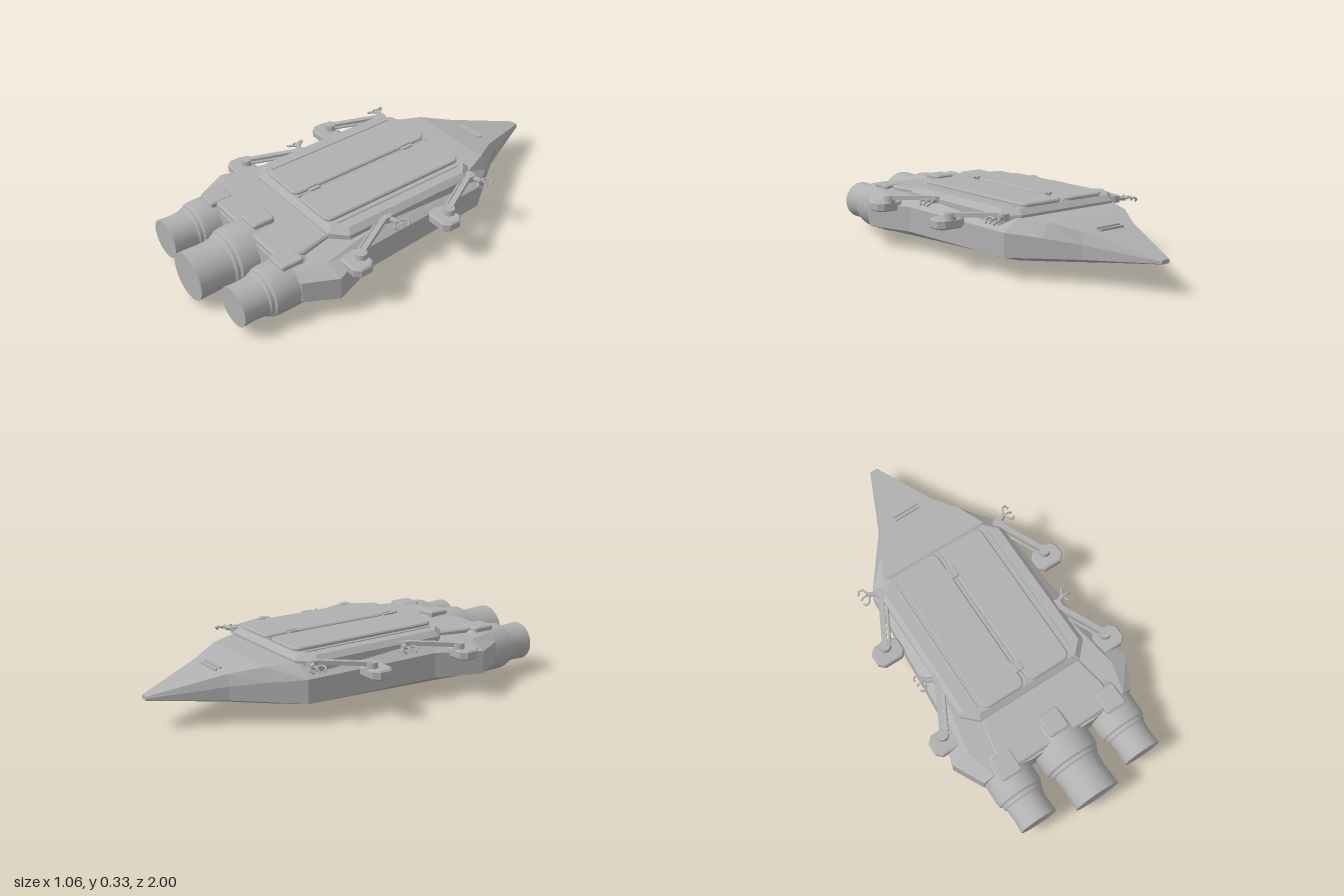
import * as THREE from 'three';
import { toCreasedNormals } from 'three/addons/utils/BufferGeometryUtils.js';

const hullGrey = new THREE.MeshStandardMaterial({ color: 0xb0b0b0 });
hullGrey.name = 'hull grey';
const V = (x, y, z) => new THREE.Vector3(x, y, z);

export function createModel() {
  const model = new THREE.Group();
  model.name = 'spaceship';

  const add = (name, geometry, parent = model) => {
    const mesh = new THREE.Mesh(geometry, hullGrey);
    mesh.name = name;
    parent.add(mesh);
    return mesh;
  };

  // Horizontal plate from an [x, z] outline, with bevelled edges
  const plate = (name, pts, y0, y1, bevel = 0.004, parent = model) => {
    const shape = new THREE.Shape(pts.map(([x, z]) => new THREE.Vector2(x, -z)));
    const geo = new THREE.ExtrudeGeometry(shape, {
      depth: y1 - y0 - 2 * bevel, bevelEnabled: true, bevelSegments: 1,
      bevelSize: bevel, bevelThickness: bevel, bevelOffset: -bevel,
    });
    geo.rotateX(-Math.PI / 2).translate(0, y0 + bevel, 0);
    return add(name, geo, parent);
  };

  // Rectangle outline with rounded corners (one step gives plain chamfers)
  const rect = (cx, cz, hw, hl, r, steps = 3) => {
    const pts = [];
    [[1, 1], [-1, 1], [-1, -1], [1, -1]].forEach(([sx, sz], q) => {
      for (let i = 0; i <= steps; i++) {
        const a = (q + i / steps) * Math.PI / 2;
        pts.push([cx + sx * (hw - r) + r * Math.cos(a), cz + sz * (hl - r) + r * Math.sin(a)]);
      }
    });
    return pts;
  };

  // Round bar between two points
  const rod = (name, a, b, r, parent) => {
    const mesh = add(name, toCreasedNormals(new THREE.CylinderGeometry(r, r, a.distanceTo(b), 10), 0.7), parent);
    mesh.position.copy(a).lerp(b, 0.5);
    mesh.quaternion.setFromUnitVectors(V(0, 1, 0), b.clone().sub(a).normalize());
    return mesh;
  };

  // Hull lofted along z: z, bottom x/y, side x, side low/high y, top x/y
  const sections = [
    [-1.0, 0.016, 0.138, 0.022, 0.141, 0.150, 0.018, 0.157],
    [-0.67, 0.12, 0.098, 0.165, 0.115, 0.180, 0.145, 0.232],
    [-0.53, 0.20, 0.085, 0.265, 0.108, 0.198, 0.230, 0.262],
    [-0.39, 0.28, 0.075, 0.365, 0.100, 0.212, 0.290, 0.266],
    [0.30, 0.36, 0.070, 0.405, 0.100, 0.222, 0.360, 0.258],
    [0.53, 0.40, 0.075, 0.487, 0.100, 0.212, 0.400, 0.250],
    [0.68, 0.34, 0.092, 0.410, 0.108, 0.212, 0.360, 0.248],
    [0.71, 0.16, 0.100, 0.180, 0.112, 0.212, 0.170, 0.246],
  ];
  const rings = sections.map(([z, bx, by, sx, s1, s2, tx, ty]) => {
    const half = [[bx, by], [sx, s1], [sx, s2], [tx, ty]];
    return [...half, ...half.map(([x, y]) => [-x, y]).reverse()].map(([x, y]) => [x, y, z]);
  });
  const pos = [];
  const tri = (...p) => p.forEach(c => pos.push(...c));
  for (let k = 0; k < rings.length - 1; k++) {
    const a = rings[k], b = rings[k + 1];
    for (let i = 0; i < 8; i++) {
      const j = (i + 1) % 8;
      tri(a[i], a[j], b[j]);
      tri(a[i], b[j], b[i]);
    }
  }
  const nose = rings[0], stern = rings[rings.length - 1];
  for (let i = 1; i < 7; i++) {
    tri(nose[0], nose[i + 1], nose[i]);
    tri(stern[0], stern[i], stern[i + 1]);
  }
  const hull = new THREE.BufferGeometry();
  hull.setAttribute('position', new THREE.Float32BufferAttribute(pos, 3));
  hull.computeVertexNormals();
  add('hull', hull);

  // Raised decks and the two bay doors
  plate('cargoDeck', rect(0, 0.02, 0.345, 0.42, 0.07, 1), 0.19, 0.303, 0.025);
  plate('rearDeck', [[-0.265, 0.40], [0.265, 0.40], [0.30, 0.58], [0.30, 0.70], [-0.30, 0.70], [-0.30, 0.58]], 0.2, 0.272, 0.008);
  for (const s of [-1, 1]) {
    plate('bayDoor', rect(s * 0.125, 0.02, 0.114, 0.395, 0.035), 0.29, 0.320, 0.006);
    plate('deckRail', rect(s * 0.262, 0.02, 0.006, 0.36, 0.004, 1), 0.295, 0.308, 0.002);
  }
  plate('doorSeam', rect(0, 0.02, 0.006, 0.39, 0.004, 1), 0.295, 0.312, 0.002);
  for (const z of [-0.235, 0.32]) {
    plate('doorLatch', rect(0, z, 0.022, 0.026, 0.005, 1), 0.31, 0.322, 0.002);
    for (const s of [-1, 1]) plate('latchGrip', rect(s * 0.013, z, 0.008, 0.028, 0.003, 1), 0.315, 0.329, 0.002);
  }

  // Thin bars across the nose
  for (const z of [-0.682, -0.660]) {
    const y = 0.232 + (z + 0.67) * 0.21;
    plate('noseBar', rect(0, z, 0.072, 0.006, 0.004, 1), y - 0.012, y + 0.010, 0.002);
  }

  // Engines: domed front, shoulder ring, narrower nozzle
  const engine = (x, y, r, n, z0, z1) => {
    const g = new THREE.Group();
    g.name = 'engine';
    model.add(g);
    const profile = [
      [0, z0], [r * 0.72, z0], [r * 0.88, z0 + 0.012], [r * 0.97, z0 + 0.035], [r, z0 + 0.07],
      [r, 0.775], [r * 0.97, 0.80], [n * 1.10, 0.808], [n * 1.10, 0.822], [n * 1.02, 0.83],
      [n * 0.97, 0.88], [n, z1 - 0.012], [n, z1], [n * 0.93, z1], [0, z1 - 0.002],
    ].map(p => new THREE.Vector2(...p));
    const body = new THREE.LatheGeometry(profile, 40).rotateX(Math.PI / 2);
    add('engineBody', toCreasedNormals(body, 0.55), g);
    g.position.set(x, y, 0);
  };
  engine(0, 0.145, 0.142, 0.115, 0.545, 1.0);
  plate('enginePad', rect(0, 0.625, 0.052, 0.056, 0.014), 0.25, 0.300, 0.006);
  for (const s of [-1, 1]) {
    engine(s * 0.29, 0.147, 0.117, 0.094, 0.57, 0.95);
    plate('enginePad', rect(s * 0.287, 0.67, 0.052, 0.058, 0.014), 0.22, 0.276, 0.006);
  }

  // Belly hatch and landing pads
  plate('bellyHatch', rect(0, -0.015, 0.17, 0.305, 0.035), 0.054, 0.09, 0.005);
  for (const [x, z, y] of [[0.225, -0.21, 0.06], [-0.225, -0.21, 0.06], [0.2, 0.41, 0.06],
    [-0.2, 0.41, 0.06], [0, 0.45, 0.06], [0, -0.55, 0.066]])
    plate('landingPad', rect(x, z, 0.052, 0.052, 0.014), y, 0.10, 0.004);

  // Four folded grabber arms
  for (const s of [-1, 1]) for (const z of [-0.09, 0.42]) {
    const g = new THREE.Group();
    g.name = 'grabberArm';
    model.add(g);
    plate('armBase', rect(s * 0.455, z, 0.073, 0.055, 0.026, 1), 0.197, 0.243, 0.007, g);
    const shoulder = V(s * 0.455, 0.252, z - 0.025);
    const elbow = V(s * 0.335, 0.272, z - 0.26);
    const wrist = V(s * 0.385, 0.272, z - 0.285);
    const turret = add('armTurret', toCreasedNormals(new THREE.CylinderGeometry(0.027, 0.031, 0.034, 16), 0.7), g);
    turret.position.copy(shoulder);
    const joint = add('armElbow', toCreasedNormals(new THREE.CylinderGeometry(0.026, 0.026, 0.032, 16), 0.7), g);
    joint.position.copy(elbow);
    // Main beam with a slimmer piston beside it
    const beam = add('armBeam', new THREE.BoxGeometry(0.026, 0.02, shoulder.distanceTo(elbow)), g);
    beam.position.copy(shoulder).lerp(elbow, 0.5);
    beam.position.y += 0.008;
    beam.lookAt(elbow.x, elbow.y + 0.008, elbow.z);
    rod('armPiston', V(s * 0.425, 0.258, z - 0.03), V(s * 0.325, 0.272, z - 0.225), 0.007, g);
    rod('armWrist', elbow, wrist, 0.012, g);
    // Hooked fingers spread around the wrist
    for (const dz of [-0.032, 0, 0.032]) {
      const path = [V(0, 0, 0), V(s * 0.018, 0.006, dz * 1.1), V(s * 0.036, 0, dz * 1.3), V(s * 0.045, -0.014, dz * 0.8)];
      for (let i = 0; i < 3; i++)
        rod('armFinger', path[i].clone().add(wrist), path[i + 1].clone().add(wrist), 0.005, g);
    }
  }
  return model;
}
